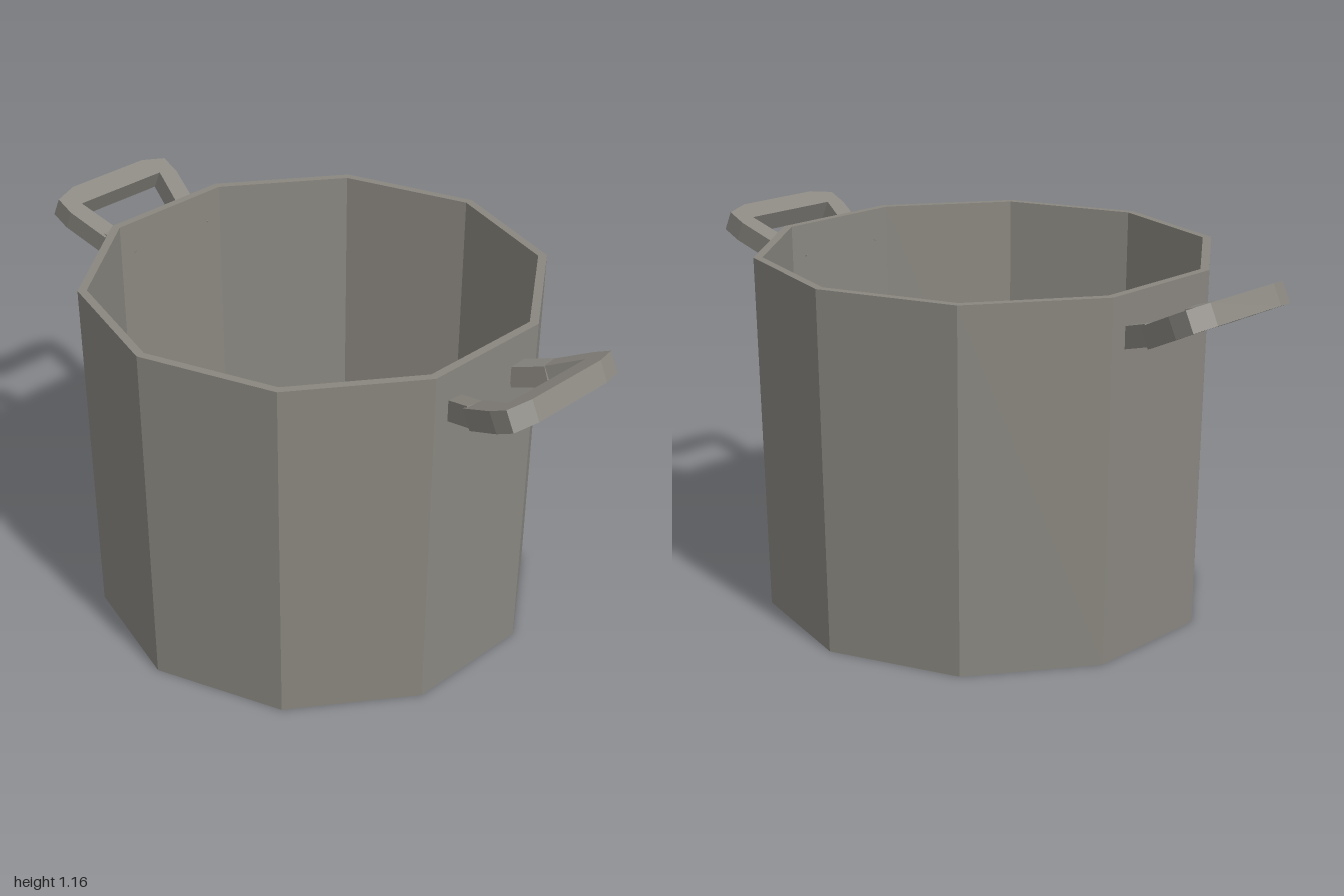
import * as THREE from 'three';

const SIDES = 10;

export function createModel() {
  const model = new THREE.Group();
  model.name = 'cookingPot';
  const steel = new THREE.MeshStandardMaterial({ color: 0x8a8780, flatShading: true });
  steel.name = 'warm grey steel';

  function add(parent, name, geometry) {
    const mesh = new THREE.Mesh(geometry, steel);
    mesh.name = name;
    parent.add(mesh);
    return mesh;
  }

  // Ten-sided open vessel: underside, outer wall, rim, inner wall, floor
  const profile = [
    [0, 0], [0.705, 0], [0.725, 1.135], [0.697, 1.135], [0.68, 0.03], [0, 0.03],
  ].map(([r, y]) => new THREE.Vector2(r, y));
  add(model, 'vessel', new THREE.LatheGeometry(profile, SIDES, Math.PI / 2));

  // U-shaped grip outline: x across, y away from the pot
  const half = [
    [0.135, 0.02], [0.195, -0.008], [0.23, 0.13], [0.23, 0.195], [0.15, 0.221],
  ];
  const outline = [
    ...half,
    ...half.map(([x, y]) => [-x, y]).reverse(),
    [-0.17, 0.148], [0.17, 0.148],
  ].map(([x, y]) => new THREE.Vector2(x, y));
  const gripGeometry = new THREE.ExtrudeGeometry(new THREE.Shape(outline), {
    depth: 0.068, bevelEnabled: false,
  });
  // Lay the outline flat, thickness upward, then tilt its outer end up
  gripGeometry.rotateX(Math.PI / 2);
  gripGeometry.translate(0, 0.068, 0);
  gripGeometry.rotateX(-0.44);
  gripGeometry.translate(0, 1.0, 0.8);

  function buildHandle(name) {
    const handle = new THREE.Group();
    handle.name = name;
    add(handle, 'grip', gripGeometry);
    // Stubs joining the grip to the wall
    for (const side of [1, -1]) {
      const outer = new THREE.Vector3(0.164 * side, 1.035, 0.79);
      const inner = new THREE.Vector3(0.135 * side, 1.0, 0.675);
      const stub = add(handle, side > 0 ? 'leftStub' : 'rightStub',
        new THREE.BoxGeometry(0.055, 0.066, outer.distanceTo(inner)));
      stub.position.copy(outer).add(inner).multiplyScalar(0.5);
      stub.lookAt(outer);
    }
    model.add(handle);
    return handle;
  }

  buildHandle('frontHandle');
  buildHandle('backHandle').rotation.y = Math.PI;

  return model;
}
